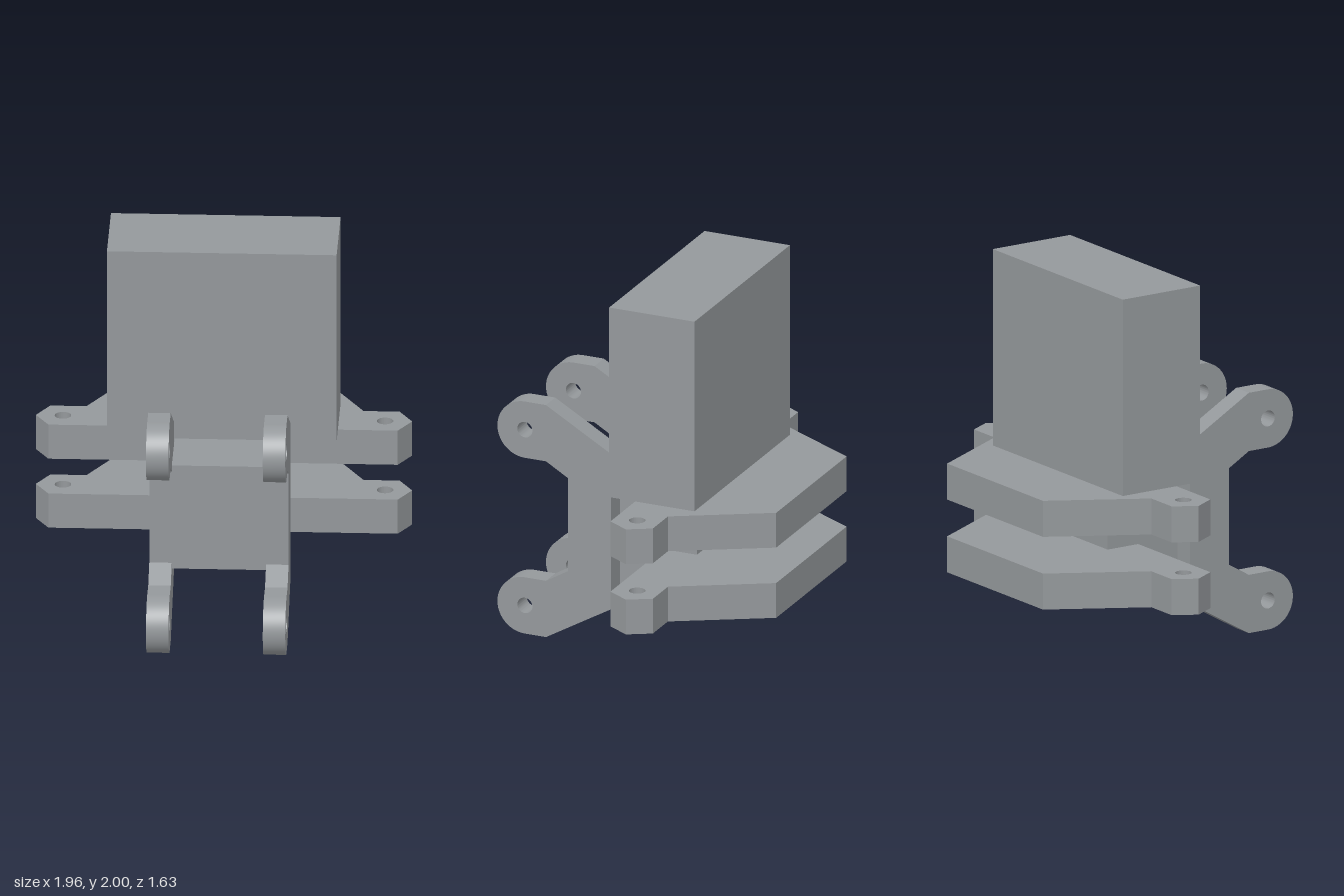
import * as THREE from 'three';
import { toCreasedNormals } from 'three/addons/utils/BufferGeometryUtils.js';

const material = new THREE.MeshStandardMaterial({ color: 0x94989b });
const HOLE = 0.043;

function addHole(shape, x, y) {
  shape.holes.push(new THREE.Path().absarc(x, y, HOLE, 0, Math.PI * 2, false));
}

function extrude(shape, depth) {
  const geometry = new THREE.ExtrudeGeometry(shape, { depth, bevelEnabled: false, curveSegments: 24 });
  return toCreasedNormals(geometry, 0.5);
}

function addMesh(group, name, geometry) {
  const mesh = new THREE.Mesh(geometry, material);
  mesh.name = name;
  group.add(mesh);
}

// Box given by its minimum and maximum corners
function boxBetween(a, b) {
  return new THREE.BoxGeometry(b[0] - a[0], b[1] - a[1], b[2] - a[2])
    .translate((a[0] + b[0]) / 2, (a[1] + b[1]) / 2, (a[2] + b[2]) / 2);
}

// Side plate with an upper and a lower eye, drawn as (z, y)
function bracketShape() {
  const z = 0.655, r = 0.157, top = 1.138, bottom = 0.157;
  const s = new THREE.Shape();
  s.moveTo(0.165, 0.215);
  s.lineTo(0.165, 1.083);
  s.lineTo(0.535, top + r);
  s.absarc(z, top, r, Math.PI / 2, -Math.PI / 2, true);
  s.lineTo(0.535, top - r);
  s.lineTo(0.41, 0.908);
  s.lineTo(0.41, 0.388);
  s.lineTo(0.535, bottom + r);
  s.absarc(z, bottom, r, Math.PI / 2, -Math.PI / 2, true);
  s.lineTo(0.535, 0);
  s.closePath();
  addHole(s, z, top);
  addHole(s, z, bottom);
  return s;
}

// Mounting plate with pointed lugs, drawn as (x, -z)
function plateShape() {
  const half = [[0.908, 0.082], [0.978, 0.203], [0.908, 0.325], [0.72, 0.325], [0.44, 0.815]];
  const mirrored = half.map(([x, y]) => [-x, y]).reverse();
  const s = new THREE.Shape([...half, ...mirrored].map(([x, y]) => new THREE.Vector2(x, y)));
  addHole(s, 0.837, 0.203);
  addHole(s, -0.837, 0.203);
  return s;
}

export function createModel() {
  const group = new THREE.Group();
  group.name = 'hingeMount';

  addMesh(group, 'upperBlock', boxBetween([-0.597, 0.942, -0.42], [0.597, 2, 0.067]));
  addMesh(group, 'centreBlock', boxBetween([-0.245, 0.356, -0.274], [0.245, 0.942, 0.41]));

  // Two stacked mounting plates
  for (const [name, y] of [['lowerPlate', 0.356], ['upperPlate', 0.748]]) {
    addMesh(group, name, extrude(plateShape(), 0.194).rotateX(-Math.PI / 2).translate(0, y, 0));
  }

  // Eye brackets on both sides of the centre block
  for (const [name, outerX] of [['leftBracket', 0.362], ['rightBracket', -0.245]]) {
    addMesh(group, name, extrude(bracketShape(), 0.117).rotateY(-Math.PI / 2).translate(outerX, 0, 0));
  }
  return group;
}
